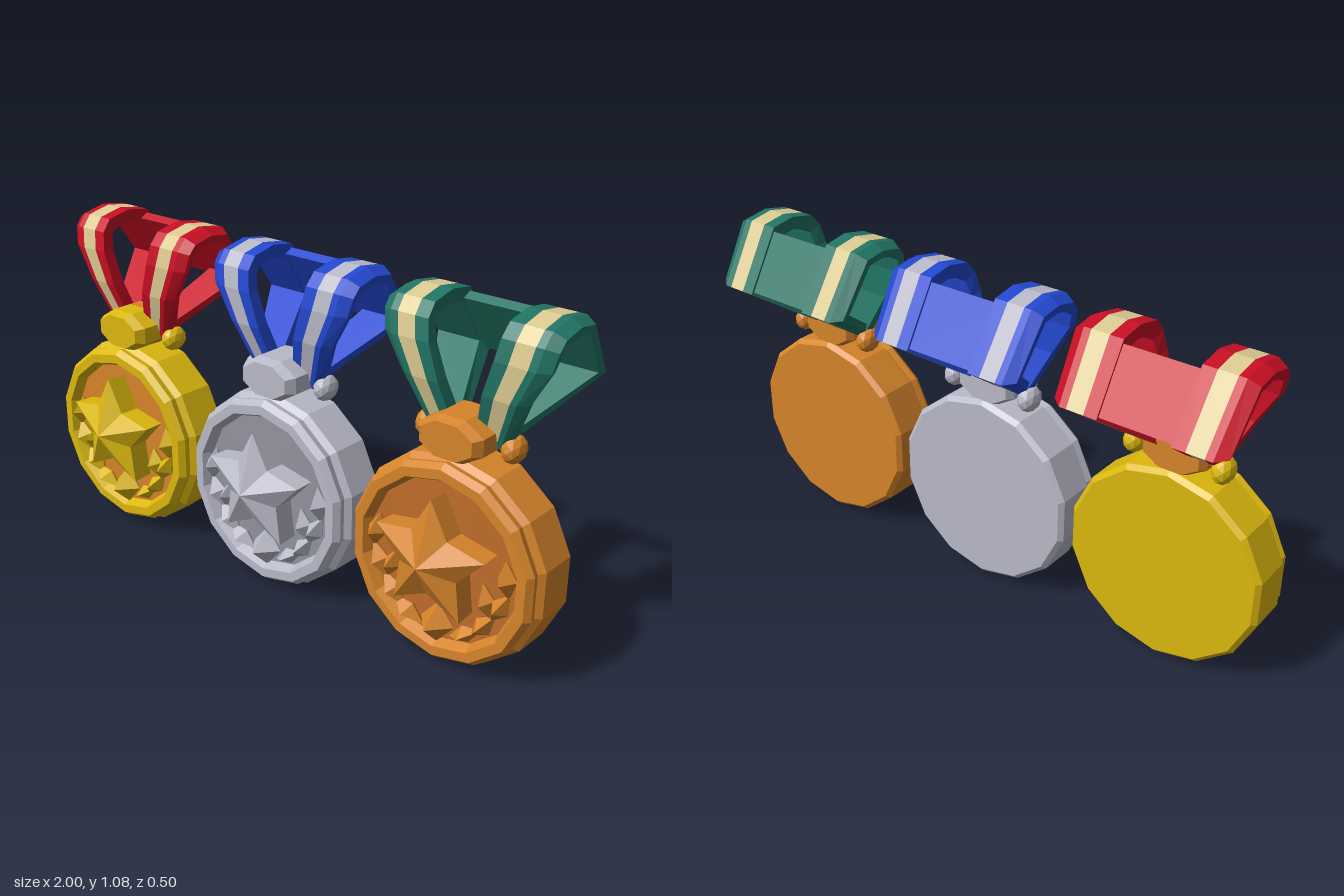
import * as THREE from 'three';

const mat = (name, color) => Object.assign(new THREE.MeshStandardMaterial({ color }), { name });

// Faceted normals
function facet(geo) {
  const g = geo.index ? geo.toNonIndexed() : geo;
  g.computeVertexNormals();
  return g;
}

// Revolve [radius, z] pairs around the z axis; odd corners can be pulled in to form a star
function turned(profile, sides, start = 0, odd = 1) {
  const pts = profile.map(([r, z]) => new THREE.Vector2(r, z));
  const g = new THREE.LatheGeometry(pts, sides, start);
  const p = g.attributes.position;
  for (let i = 0; i < p.count; i++) {
    const k = Math.floor(i / pts.length) % 2 ? odd : 1;
    p.setXYZ(i, p.getX(i) * k, p.getY(i), p.getZ(i) * k);
  }
  g.rotateX(Math.PI / 2);
  return g;
}

// Ribbon path: centre x, y, z of the outer face, width factor
const PATH = [
  [0.08, 0.69, 0.04, 0.65], [0.135, 0.85, 0.085, 0.85], [0.18, 0.96, 0.09, 1],
  [0.192, 1.025, 0.078, 1], [0.195, 1.065, 0.045, 1], [0.195, 1.083, -0.04, 1],
  [0.195, 1.07, -0.125, 1], [0.187, 0.877, -0.25, 0.95], [0.08, 0.70, 0.005, 0.65],
];
// Ribbon cross-section: sideways offset, depth below the outer face
const SECTION = [[-0.075, 0], [-0.03, 0], [0.03, 0], [0.055, 0], [0.09, 0.02], [0.085, 0.045], [-0.07, 0.045]];

// One side of the ribbon, with the stripe as its own material group
function ribbonGeometry(side) {
  const dirs = PATH.slice(1).map((p, i) =>
    new THREE.Vector2(p[1] - PATH[i][1], p[2] - PATH[i][2]).normalize());
  const rings = PATH.map(([x, y, z, w], i) => {
    const a = dirs[Math.max(i - 1, 0)], b = dirs[Math.min(i, dirs.length - 1)];
    const t = a.clone().add(b).normalize();
    const miter = 1 / Math.max(t.dot(a), 0.5);
    // Inward direction in the y-z plane is (t.z, -t.y) turned towards the loop centre
    return SECTION.map(([u, d]) => [
      side * (x + u * w), y + t.y * -1 * d * miter, z + t.x * -1 * d * miter, t, d * miter,
    ]).map(([px, , , tt, dd]) => [px, y + tt.y * dd, z - tt.x * dd]);
  });
  const pos = [], n = SECTION.length;
  const quad = (a, b, c, d) => {
    const q = side > 0 ? [a, b, c, a, c, d] : [a, c, b, a, d, c];
    q.forEach((v) => pos.push(...v));
  };
  const strip = (j) => {
    const k = (j + 1) % n;
    for (let i = 0; i < rings.length - 1; i++) quad(rings[i][j], rings[i][k], rings[i + 1][k], rings[i + 1][j]);
  };
  strip(1);
  const stripeCount = pos.length / 3;
  for (let j = 0; j < n; j++) if (j !== 1) strip(j);
  const g = new THREE.BufferGeometry();
  g.setAttribute('position', new THREE.Float32BufferAttribute(pos, 3));
  g.addGroup(0, stripeCount, 1);
  g.addGroup(stripeCount, pos.length / 3 - stripeCount, 0);
  g.computeVertexNormals();
  return g;
}

// Laurel leaves: x, y, half width, half height, tilt
const LEAVES = [
  [0.226, 0.36, 0.032, 0.06, 0.15], [0.21, 0.265, 0.03, 0.062, -0.5], [0.165, 0.27, 0.027, 0.055, 0.3],
  [0.158, 0.185, 0.03, 0.062, -0.7], [0.1, 0.135, 0.026, 0.062, -1.05],
];

function medal({ name, x, metal, inner, ribbon, stripe, claspBack }) {
  const group = new THREE.Group();
  group.name = name;
  group.position.x = x;
  const add = (part, geo, material, px = 0, py = 0, pz = 0) => {
    const m = new THREE.Mesh(facet(geo), material);
    m.name = part;
    m.position.set(px, py, pz);
    group.add(m);
    return m;
  };

  // Disc with raised rim and recessed face
  add('disc', turned([
    [0, -0.045], [0.315, -0.045], [0.33, -0.03], [0.33, 0.095], [0.312, 0.112], [0.318, 0.135],
    [0.302, 0.155], [0.272, 0.155], [0.255, 0.12],
  ], 14), metal, 0, 0.33);
  add('recessedFace', turned([[0.262, 0.122], [0, 0.124]], 14), inner, 0, 0.33);

  // Faceted star
  add('star', turned([[0.19, 0.12], [0.195, 0.195], [0, 0.255]], 10, Math.PI, 0.53), metal, 0, 0.36);

  // Laurel and the diamond at its foot
  for (const side of [1, -1]) {
    for (const [lx, ly, w, h, tilt] of LEAVES) {
      const leaf = new THREE.OctahedronGeometry(1).scale(w, h, 0.045).rotateZ(side * tilt);
      add('laurelLeaf', leaf, metal, side * lx, ly, 0.135);
    }
  }
  add('laurelDiamond', new THREE.OctahedronGeometry(1).scale(0.058, 0.068, 0.07), metal, 0, 0.132, 0.13);

  // Clasp in two halves with side knobs
  const eighth = Math.PI / 8;
  add('claspFront', turned([[1, 0.04], [1, 0.11], [0.82, 0.14], [0, 0.14]], 8, eighth).scale(0.115, 0.07, 1), metal, 0, 0.713);
  add('claspBack', turned([[0, -0.035], [0.85, -0.035], [1, -0.01], [1, 0.04]], 8, eighth).scale(0.115, 0.07, 1), claspBack, 0, 0.713);
  for (const side of [1, -1]) {
    add('claspKnob', new THREE.IcosahedronGeometry(1, 1).scale(0.034, 0.043, 0.048), metal, side * 0.145, 0.692, 0.015);
    add('ribbonStrap', ribbonGeometry(side), [ribbon, stripe]);
  }

  // Panel joining the straps at the back
  add('ribbonBackPanel', new THREE.BoxGeometry(0.3, 0.21, 0.03).rotateX(0.57), ribbon, 0, 0.96, -0.169);
  return group;
}

export function createModel() {
  const gold = mat('gold', 0xdcb80e);
  const bronze = mat('bronze', 0xd6842a);
  const silver = mat('silver', 0xb9bac8);
  const darkSilver = mat('darkSilver', 0x92939f);
  const darkBronze = mat('darkBronze', 0xbf6c2a);
  const red = mat('ribbonRed', 0xc80e24);
  const blue = mat('ribbonBlue', 0x2348d0);
  const green = mat('ribbonGreen', 0x217465);
  const cream = mat('stripeCream', 0xdccb92);
  [red, blue, green, cream, silver].forEach((m) => { m.side = THREE.DoubleSide; });

  const model = new THREE.Group();
  model.name = 'medals';
  model.add(
    medal({ name: 'goldMedal', x: -0.678, metal: gold, inner: bronze, ribbon: red, stripe: cream, claspBack: bronze }),
    medal({ name: 'silverMedal', x: 0, metal: silver, inner: darkSilver, ribbon: blue, stripe: silver, claspBack: silver }),
    medal({ name: 'bronzeMedal', x: 0.678, metal: bronze, inner: darkBronze, ribbon: green, stripe: cream, claspBack: bronze }),
  );
  return model;
}
